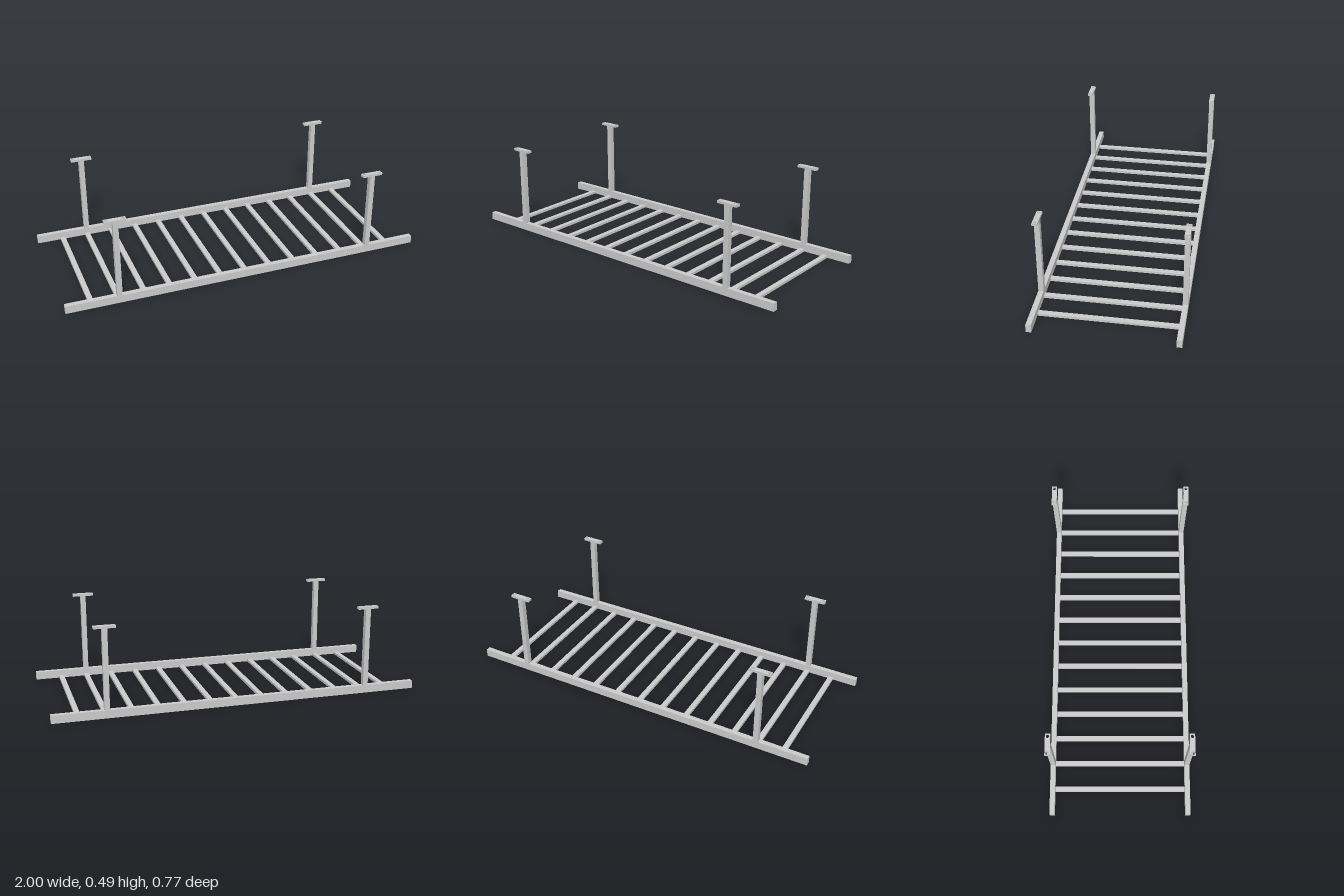
import * as THREE from 'three';

const RAIL_Z = 0.371, T = 0.028, RAIL_H = 0.043, POST_X = 0.714;
const PLATE_Y = 0.473, PLATE_H = 0.013, PLATE_W = 0.114;

export function createModel() {
  const model = new THREE.Group();
  model.name = 'hangingLadderRack';
  const material = new THREE.MeshStandardMaterial({ color: 0xcccccc });

  const add = (name, geometry, x, y, z) => {
    const mesh = new THREE.Mesh(geometry, material);
    mesh.name = name;
    mesh.position.set(x, y, z);
    model.add(mesh);
  };

  // Mounting plate with two screw holes, laid flat
  const plateShape = new THREE.Shape([
    new THREE.Vector2(-PLATE_W / 2, -T / 2), new THREE.Vector2(PLATE_W / 2, -T / 2),
    new THREE.Vector2(PLATE_W / 2, T / 2), new THREE.Vector2(-PLATE_W / 2, T / 2),
  ]);
  for (const x of [-0.044, 0.044]) {
    plateShape.holes.push(new THREE.Path().absarc(x, 0, 0.009, 0, Math.PI * 2, true));
  }
  const plate = new THREE.ExtrudeGeometry(plateShape, { depth: PLATE_H, bevelEnabled: false, curveSegments: 16 });
  plate.rotateX(-Math.PI / 2);

  const rail = new THREE.BoxGeometry(2, RAIL_H, T);
  const post = new THREE.BoxGeometry(T, PLATE_Y - RAIL_H, T);
  const rung = new THREE.BoxGeometry(T, 0.014, 2 * RAIL_Z - T);

  // Side rails, each carrying two hanger posts
  for (const z of [-RAIL_Z, RAIL_Z]) {
    add('sideRail', rail, 0, RAIL_H / 2, z);
    for (const x of [-POST_X, POST_X]) {
      add('hangerPost', post, x, (PLATE_Y + RAIL_H) / 2, z);
      add('mountingPlate', plate, x, PLATE_Y, z);
    }
  }

  // Thirteen rungs flush with the underside of the rails
  for (let i = -6; i <= 6; i++) add('rung', rung, i / 7, 0.007, 0);

  return model;
}
